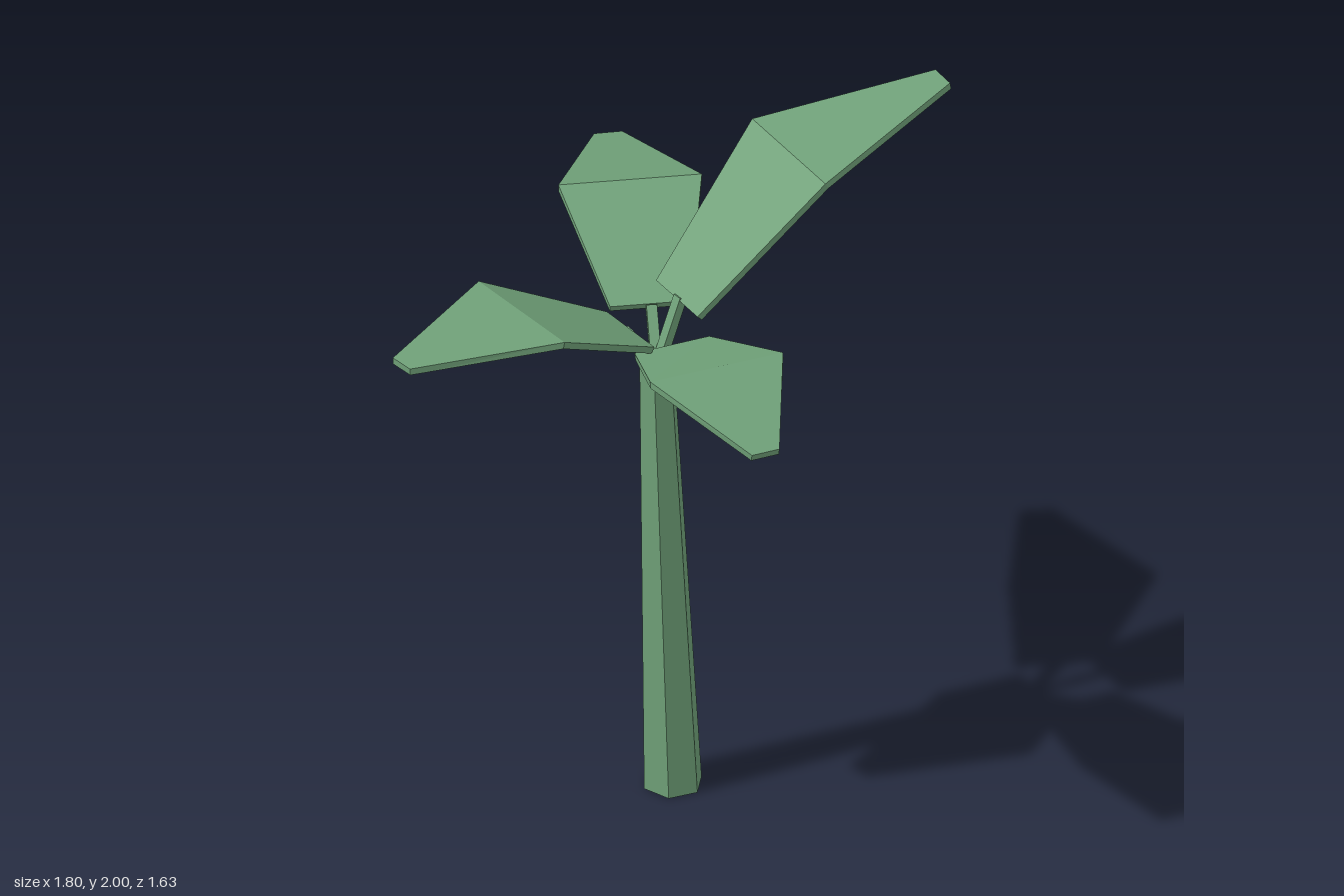
import * as THREE from 'three';

const V = (x, y, z) => new THREE.Vector3(x, y, z);
const CROWN = V(-0.03, 1.34, 0.052);
const THICK = 0.02;

// Each frond: three cross-sections [right x, right z, left x, left z, y] from base to tip.
const FRONDS = [
  { name: 'leftFrond', stalk: V(0.05, 1.545, 0.042),
    sections: [[0.05, 0.155, 0.04, -0.07, 1.535], [0.41, 0.228, 0.393, -0.172, 1.9], [0.895, 0.045, 0.893, 0.033 - 0.07, 1.987]] },
  { name: 'rightFrond', stalk: V(-0.125, 1.49, 0.058),
    sections: [[-0.133, -0.055, -0.105, 0.172, 1.485], [-0.518, -0.083, -0.46, 0.315, 1.68], [-0.902, 0.138, -0.888, 0.213, 1.662]] },
  { name: 'frontFrond', stalk: V(-0.032, 1.455, 0.15),
    sections: [[-0.142, 0.135, 0.083, 0.152, 1.455], [-0.263, 0.453, 0.135, 0.488, 1.57], [-0.133, 0.806, -0.05, 0.812, 1.487]] },
  { name: 'backFrond', stalk: V(0.01, 1.475, -0.055),
    sections: [[0.11, -0.017, -0.1, -0.092, 1.475], [0.328, -0.355, -0.05, -0.49, 1.638], [0.31, -0.79, 0.235, -0.815, 1.545]] },
];

// Folded blade: a box with two length segments, its rings moved onto the sections.
function bladeGeometry(sections) {
  const rings = sections.map(([ax, az, bx, bz, y]) => ({ a: V(ax, y, az), b: V(bx, y, bz) }));
  const mids = rings.map(r => r.a.clone().lerp(r.b, 0.5));
  rings.forEach((r, i) => {
    const along = mids[Math.min(i + 1, 2)].clone().sub(mids[Math.max(i - 1, 0)]);
    r.normal = along.cross(r.b.clone().sub(r.a)).normalize();
  });
  const geo = new THREE.BoxGeometry(1, 1, 1, 1, 1, 2);
  const pos = geo.attributes.position;
  for (let i = 0; i < pos.count; i++) {
    const ring = rings[Math.round((pos.getZ(i) + 0.5) * 2)];
    const p = (pos.getX(i) < 0 ? ring.a : ring.b).clone().addScaledVector(ring.normal, pos.getY(i) * THICK);
    pos.setXYZ(i, p.x, p.y, p.z);
  }
  geo.computeVertexNormals();
  return geo;
}

// Square stalk running between two points.
function stalkMesh(from, to, material) {
  const geo = new THREE.BoxGeometry(0.03, 0.026, from.distanceTo(to));
  const mesh = new THREE.Mesh(geo, material);
  mesh.position.copy(from).lerp(to, 0.5);
  mesh.lookAt(to);
  mesh.name = 'stalk';
  return mesh;
}

// Tapered six-sided trunk, leaning from its base towards the crown.
function trunkGeometry() {
  const height = 1.36;
  const geo = new THREE.CylinderGeometry(0.051, 0.086, height, 6, 2, false, Math.PI / 2 - 0.1);
  geo.translate(0, height / 2, 0);
  const pos = geo.attributes.position;
  for (let i = 0; i < pos.count; i++) {
    const t = pos.getY(i) / height;
    pos.setX(i, pos.getX(i) + THREE.MathUtils.lerp(0.006, -0.03, t));
    pos.setZ(i, pos.getZ(i) + THREE.MathUtils.lerp(0.08, 0.052, t));
  }
  geo.computeVertexNormals();
  return geo;
}

export function createModel() {
  const model = new THREE.Group();
  model.name = 'palmTree';
  const green = new THREE.MeshStandardMaterial({ color: 0x6fa078, flatShading: true });

  const trunk = new THREE.Mesh(trunkGeometry(), green);
  trunk.name = 'trunk';
  model.add(trunk);

  // Four fronds, each a stalk and a folded blade
  for (const { name, stalk, sections } of FRONDS) {
    const frond = new THREE.Group();
    frond.name = name;
    const blade = new THREE.Mesh(bladeGeometry(sections), green);
    blade.name = 'blade';
    frond.add(stalkMesh(CROWN, stalk, green), blade);
    model.add(frond);
  }
  return model;
}
